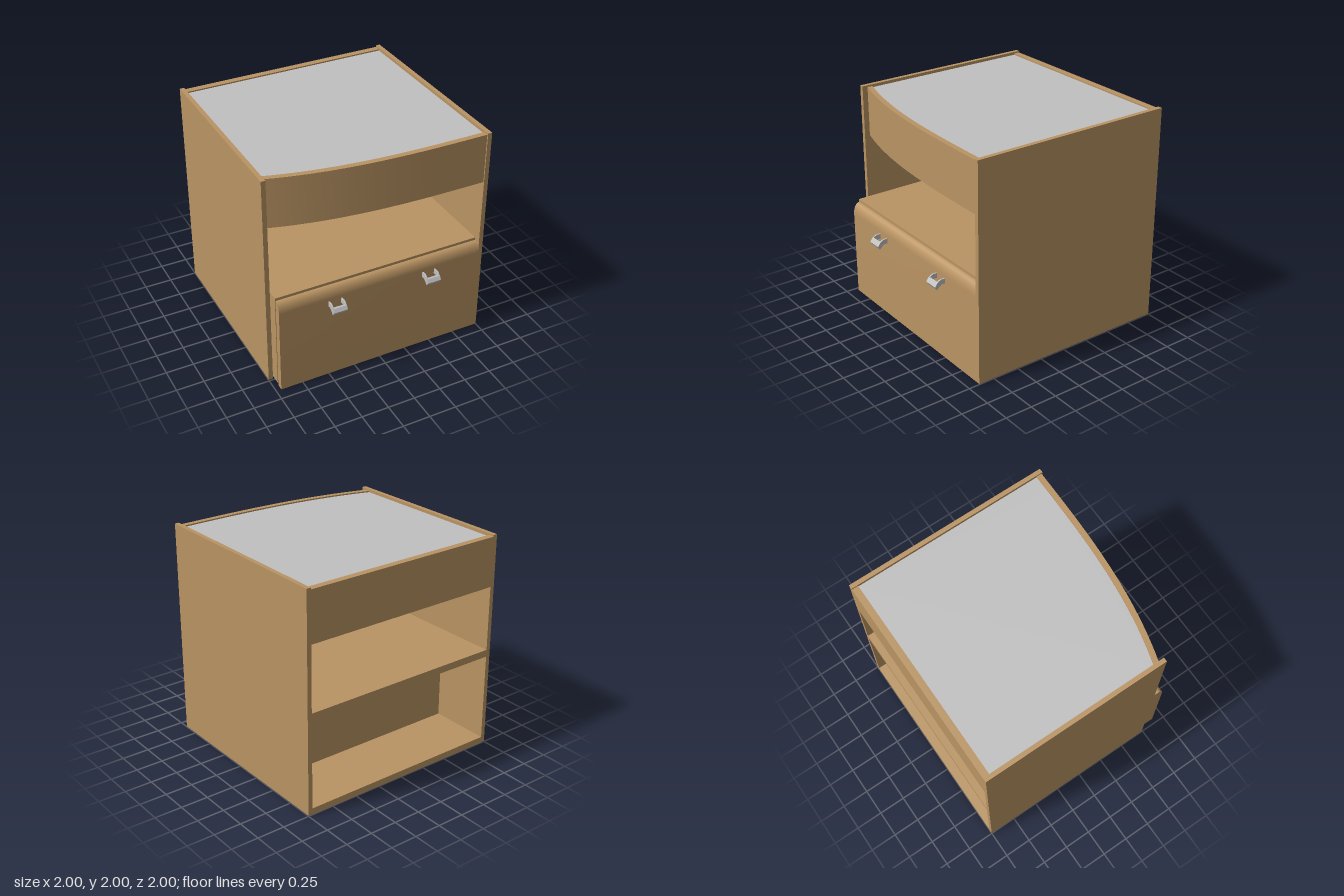
import * as THREE from 'three';
import { toCreasedNormals } from 'three/addons/utils/BufferGeometryUtils.js';

export function createModel() {
  const model = new THREE.Group();
  const wood = new THREE.MeshStandardMaterial({ color: 0xba9463 });
  wood.name = 'oak wood';
  const grey = new THREE.MeshStandardMaterial({ color: 0xc0c0c0 });
  grey.name = 'light grey metal';

  const add = (name, geometry, material = wood, parent = model) => {
    const mesh = new THREE.Mesh(geometry, material);
    mesh.name = name;
    parent.add(mesh);
    return mesh;
  };
  // box given by its limits on each axis
  const box = (name, [x0, x1], [y0, y1], [z0, z1], material) =>
    add(name, new THREE.BoxGeometry(x1 - x0, y1 - y0, z1 - z0)
      .translate((x0 + x1) / 2, (y0 + y1) / 2, (z0 + z1) / 2), material);
  // plan outline [x, z] raised from y0 to y1
  const raise = (points, y0, y1) => {
    const shape = new THREE.Shape(points.map(([x, z]) => new THREE.Vector2(x, -z)));
    const g = new THREE.ExtrudeGeometry(shape, { depth: y1 - y0, bevelEnabled: false });
    return toCreasedNormals(g.rotateX(-Math.PI / 2).translate(0, y0, 0), 0.6);
  };
  // side profile [z, y] stretched from x0 to x1
  const stretch = (points, x0, x1) => {
    const shape = new THREE.Shape(points.map(([z, y]) => new THREE.Vector2(z, y)));
    const g = new THREE.ExtrudeGeometry(shape, { depth: x1 - x0, bevelEnabled: false });
    return toCreasedNormals(g.rotateY(-Math.PI / 2).translate(x1, 0, 0), 0.6);
  };

  // carcass
  const inside = [-0.96, 0.96];
  box('leftSidePanel', [0.96, 1], [0.005, 2], [-1, 0.9]);
  box('rightSidePanel', [-1, -0.96], [0.005, 2], [-1, 0.74]);
  box('backApron', inside, [1.53, 1.985], [-1, -0.94]);
  box('shelf', inside, [0.87, 0.935], [-1, 0.84]);
  box('rearFloor', inside, [0, 0.06], [-1, -0.43]);
  box('partition', inside, [0.04, 0.87], [-0.43, -0.37]);
  box('drawerSide', [-0.96, -0.9], [0.04, 0.87], [-0.37, 0.84]);
  box('drawerBottom', inside, [0.035, 0.043], [-0.43, 0.84], grey);

  // sweeping front apron and the top that follows it
  const curve = [];
  for (let i = 0; i <= 24; i++) {
    const t = i / 24;
    curve.push([0.96 - 1.92 * t, 0.84 - 0.2 * t ** 3]);
  }
  const outer = curve.map(([x, z]) => [x, z + 0.05]).reverse();
  add('frontApron', raise([...curve, ...outer], 1.53, 1.985));
  const topOutline = [...curve, [-0.96, -0.94], [0.96, -0.94]];
  add('topBoard', raise(topOutline, 1.89, 1.965));
  add('topSheet', raise(topOutline, 1.965, 1.973), grey);

  // drawer front with a rounded upper edge
  const front = [[0.84, 0.005], [0.9, 0.005]];
  for (let i = 0; i <= 10; i++) {
    const a = (i / 10) * Math.PI / 2;
    front.push([0.84 + 0.06 * Math.cos(a), 0.81 + 0.1 * Math.sin(a)]);
  }
  add('drawerFront', stretch(front, -0.955, 0.96));

  // hooked handles: two thin prongs joined by a sloping grip
  const hook = [[0.9, 0.74], [0.93, 0.74], [0.95, 0.73], [0.98, 0.7], [1, 0.73],
    [0.98, 0.76], [0.96, 0.777], [0.94, 0.785], [0.9, 0.785]];
  const grip = [[0.955, 0.725], [0.98, 0.7], [1, 0.73], [0.98, 0.76], [0.965, 0.765]];
  for (const x of [-0.505, 0.395]) {
    const handle = new THREE.Group();
    handle.name = 'handle';
    handle.position.x = x;
    add('handleProng', stretch(hook, 0, 0.013), grey, handle);
    add('handleProng', stretch(hook, 0.117, 0.13), grey, handle);
    add('handleGrip', stretch(grip, 0.013, 0.117), grey, handle);
    model.add(handle);
  }
  return model;
}
